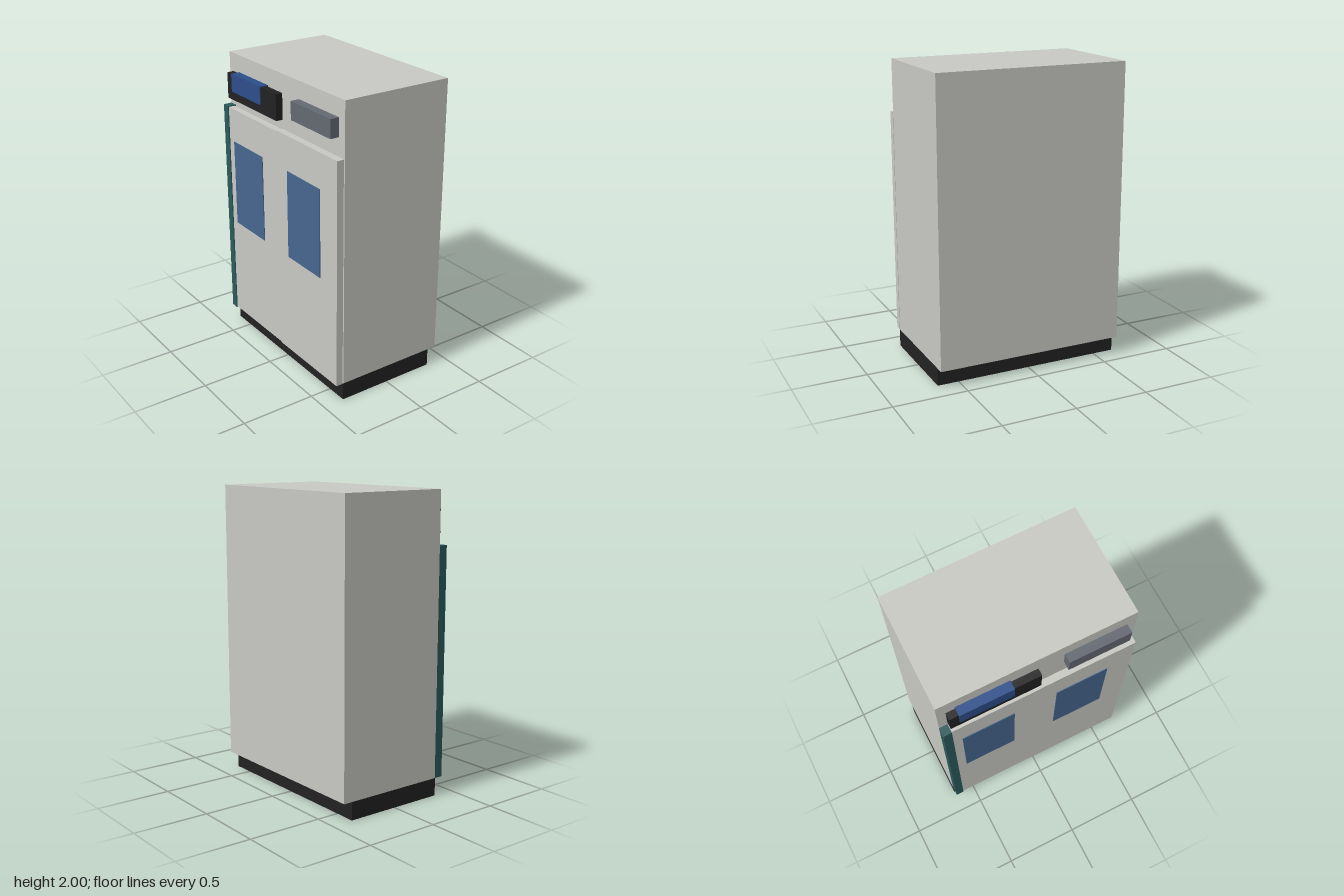
import * as THREE from 'three';

const material = (name, color, side = THREE.FrontSide) => {
  const m = new THREE.MeshStandardMaterial({ color, side });
  m.name = name;
  return m;
};

export function createModel() {
  const group = new THREE.Group();
  const casing = material('warm grey', 0xc8c8c3);
  const black = material('black', 0x222222, THREE.DoubleSide);
  const teal = material('dark teal', 0x2a5a5b);
  const glass = material('window blue', 0x46668e);
  const blue = material('display blue', 0x2c4e8a);
  const slate = material('slate grey', 0x646871);

  // Box given by its low and high limits on each axis
  const box = (name, mat, [x0, x1], [y0, y1], [z0, z1]) => {
    const mesh = new THREE.Mesh(new THREE.BoxGeometry(x1 - x0, y1 - y0, z1 - z0), mat);
    mesh.position.set((x0 + x1) / 2, (y0 + y1) / 2, (z0 + z1) / 2);
    mesh.name = name;
    group.add(mesh);
  };

  const W = 0.645, back = -0.411, face = 0.35, front = 0.41;
  const floor = 0.12;

  // Cabinet
  box('cabinet', casing, [-W, W], [floor, 2], [back, face]);

  // Hollow plinth, open underneath, set in at the back
  const plinth = new THREE.Group();
  plinth.name = 'plinth';
  const plinthBack = -0.35, plinthFront = 0.352;
  const depth = plinthFront - plinthBack, mid = (plinthFront + plinthBack) / 2;
  const walls = [
    [2 * W, 0, plinthFront, 0],
    [2 * W, 0, plinthBack, Math.PI],
    [depth, W, mid, Math.PI / 2],
    [depth, -W, mid, -Math.PI / 2],
  ];
  for (const [width, x, z, turn] of walls) {
    const wall = new THREE.Mesh(new THREE.PlaneGeometry(width, floor), black);
    wall.position.set(x, floor / 2, z);
    wall.rotation.y = turn;
    wall.name = 'plinthWall';
    plinth.add(wall);
  }
  group.add(plinth);

  // Doors, standing slightly off the cabinet
  const panelDepth = [0.357, 0.404];
  box('rightDoor', casing, [-0.59, 0], [0.126, 1.642], panelDepth);
  box('leftDoor', casing, [0, W], [floor, 1.648], panelDepth);
  box('edgeStrip', teal, [-W, -0.59], [floor, 1.648], [face, front]);

  // Door windows
  for (const x of [-0.53, 0.117]) {
    box('doorWindow', glass, [x, x + 0.354], [0.822, 1.415], [face, 0.409]);
  }

  // Control panel, display and handle block
  box('controlPanel', black, [-0.59, 0], [1.708, 1.88], panelDepth);
  box('display', blue, [-0.53, -0.177], [1.765, 1.885], [face, front]);
  box('ventBlock', slate, [0.175, 0.586], [1.765, 1.885], [face, front]);

  return group;
}
